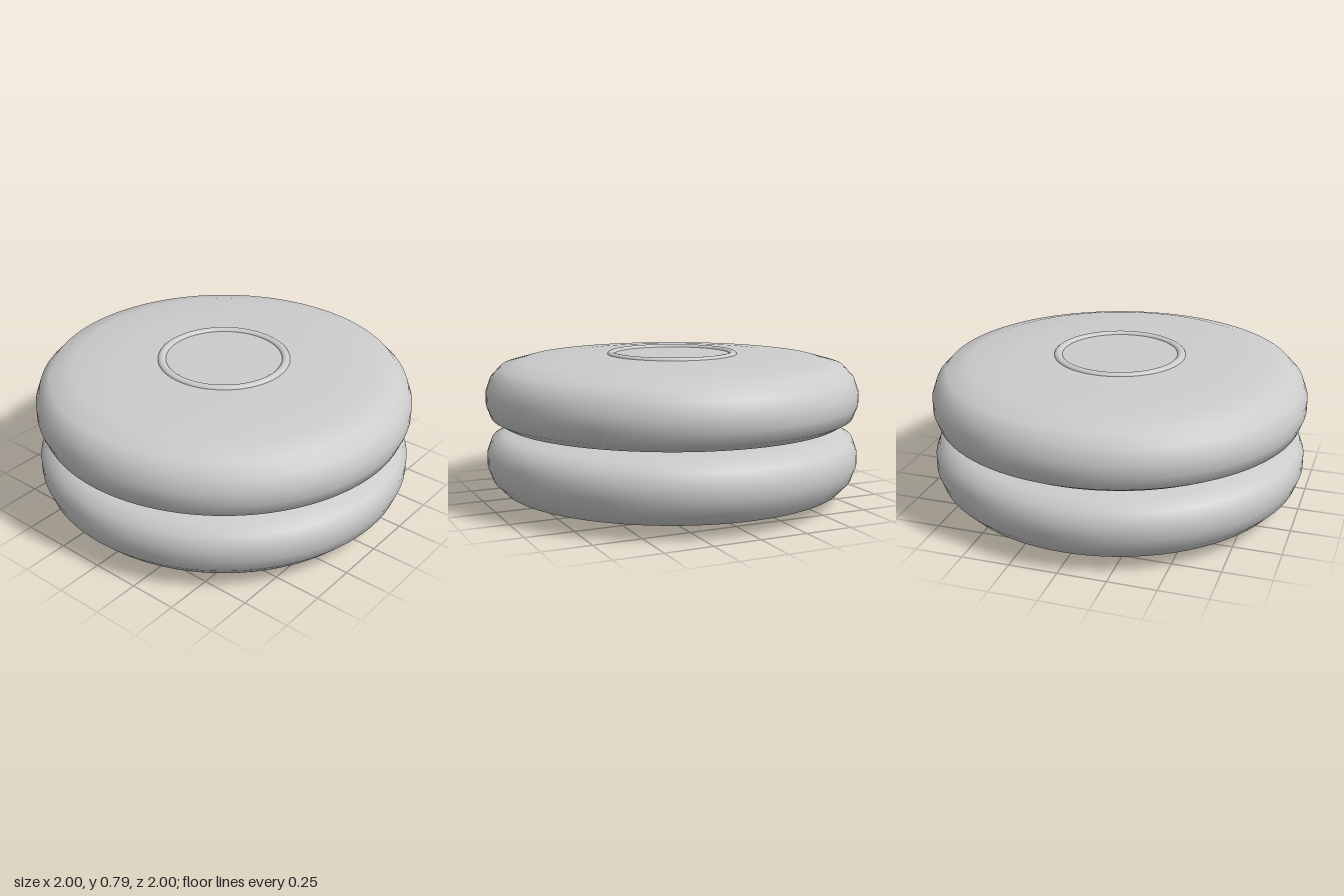
import * as THREE from 'three';

const MID = 0.395; // height of the seam between the two halves

const lathe = (points, segments = 96) =>
  new THREE.LatheGeometry(points.map(([r, y]) => new THREE.Vector2(r, y)), segments);

// One rounded disc, from its inner face around the rim to the outer face
const discProfile = [
  [0, 0], [0.6, 0], [0.79, 0.004], [0.91, 0.025], [0.975, 0.062], [1, 0.13],
  [1, 0.196], [0.975, 0.266], [0.92, 0.324], [0.8, 0.357], [0.6, 0.371],
  [0.35, 0.381], [0, 0.383],
];

// Raised half-round ring on the outer face
const ringProfile = [];
for (let i = 0; i <= 10; i++) {
  const a = (i / 10) * Math.PI;
  ringProfile.push([0.328 + 0.022 * Math.cos(a), 0.379 + 0.016 * Math.sin(a)]);
}

export function createModel() {
  const model = new THREE.Group();
  model.name = 'yoyo';
  const grey = new THREE.MeshStandardMaterial({ color: 0xcccccc });
  grey.name = 'grey';

  const discGeometry = lathe(discProfile);
  const ringGeometry = lathe(ringProfile);

  // Two identical halves, the lower one turned over
  for (const [name, turn] of [['upperHalf', 0], ['lowerHalf', Math.PI]]) {
    const half = new THREE.Group();
    half.name = name;
    const disc = new THREE.Mesh(discGeometry, grey);
    disc.name = 'disc';
    const ring = new THREE.Mesh(ringGeometry, grey);
    ring.name = 'ring';
    half.add(disc, ring);
    half.rotation.x = turn;
    half.position.y = MID;
    model.add(half);
  }
  return model;
}
